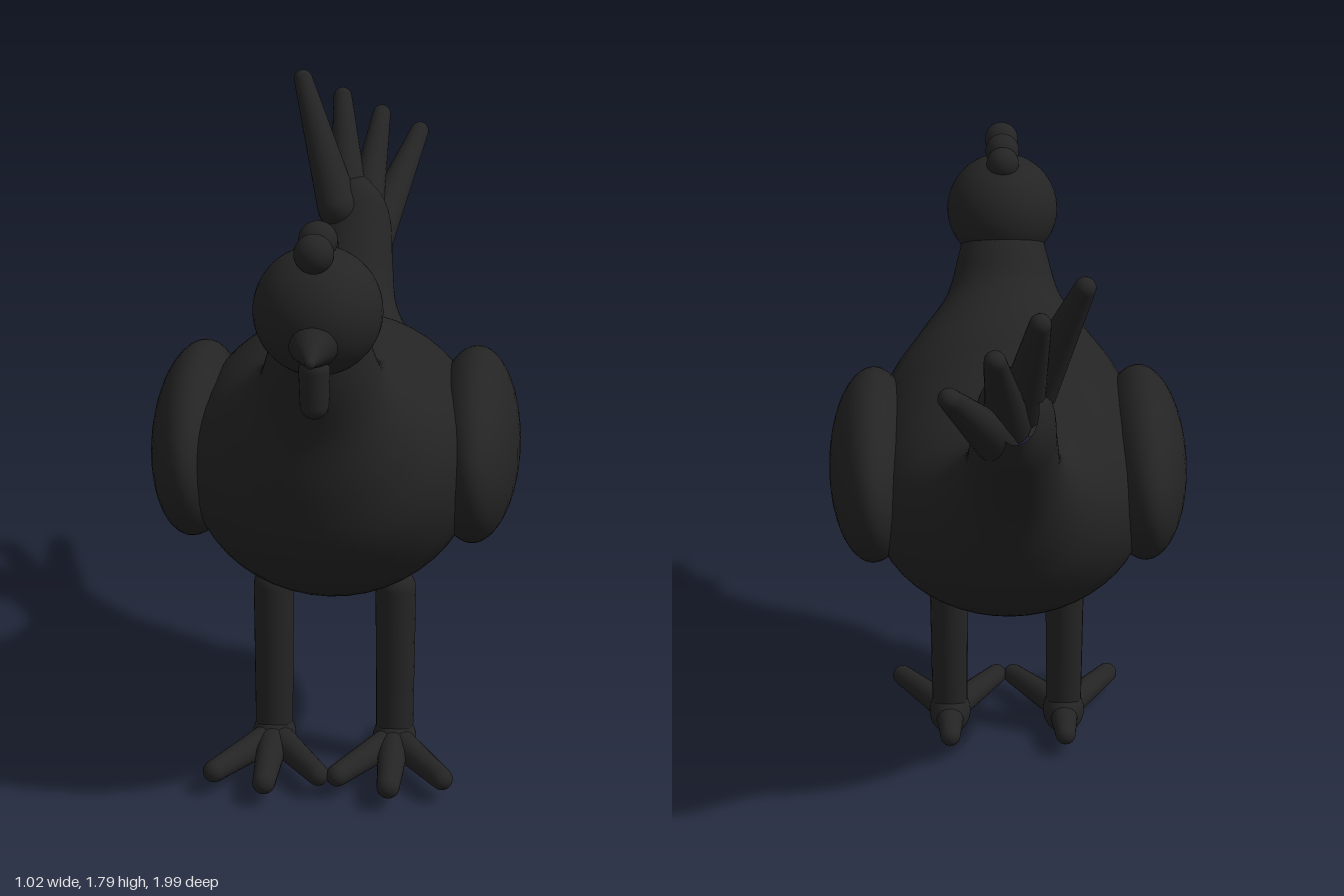
import * as THREE from 'three';

const black = new THREE.MeshStandardMaterial({ color: 0x242424 });
black.name = 'black plumage';

const V = (x, y, z) => new THREE.Vector3(x, y, z);

function part(parent, name, geometry) {
  const mesh = new THREE.Mesh(geometry, black);
  mesh.name = name;
  parent.add(mesh);
  return mesh;
}

function ellipsoid(parent, name, c, r) {
  const mesh = part(parent, name, new THREE.SphereGeometry(1, 40, 28));
  mesh.position.set(...c);
  mesh.scale.set(...r);
  return mesh;
}

// Tapered rod with rounded ends, running from a to b
function limb(parent, name, a, b, ra, rb) {
  const dir = b.clone().sub(a);
  const len = dir.length();
  const profile = [];
  for (let i = 0; i <= 6; i++) {
    const t = (i / 6) * Math.PI / 2;
    profile.push(new THREE.Vector2(ra * Math.sin(t), -ra * Math.cos(t)));
  }
  for (let i = 0; i <= 6; i++) {
    const t = (i / 6) * Math.PI / 2;
    profile.push(new THREE.Vector2(rb * Math.cos(t), len + rb * Math.sin(t)));
  }
  const mesh = part(parent, name, new THREE.LatheGeometry(profile, 20));
  mesh.position.copy(a);
  mesh.quaternion.setFromUnitVectors(V(0, 1, 0), dir.normalize());
  return mesh;
}

// Elliptical sections from neck to tail: [top y, top z, bottom y, bottom z, half width]
const SECTIONS = [
  [1.50, 0.63, 1.42, 0.82, 0.11],
  [1.43, 0.575, 1.30, 0.805, 0.135],
  [1.36, 0.525, 1.15, 0.765, 0.17],
  [1.31, 0.44, 0.98, 0.748, 0.25],
  [1.285, 0.33, 0.81, 0.70, 0.33],
  [1.28, 0.22, 0.645, 0.54, 0.385],
  [1.29, 0.10, 0.535, 0.27, 0.405],
  [1.265, -0.03, 0.53, 0.0, 0.40],
  [1.215, -0.16, 0.60, -0.20, 0.36],
  [1.19, -0.25, 0.73, -0.35, 0.27],
  [1.205, -0.33, 0.86, -0.425, 0.19],
  [1.265, -0.405, 1.0, -0.485, 0.135],
  [1.38, -0.49, 1.13, -0.575, 0.115],
  [1.49, -0.57, 1.25, -0.67, 0.10],
  [1.50, -0.64, 1.33, -0.71, 0.06],
];

function bodyGeometry(rings = 84, sides = 48) {
  const tops = new THREE.CatmullRomCurve3(SECTIONS.map(s => V(s[4], s[0], s[1])));
  const bottoms = new THREE.CatmullRomCurve3(SECTIONS.map(s => V(s[4], s[2], s[3])));
  const pos = [], index = [];
  for (let i = 0; i <= rings; i++) {
    const top = tops.getPoint(i / rings), bottom = bottoms.getPoint(i / rings);
    for (let j = 0; j < sides; j++) {
      const t = (j / sides) * Math.PI * 2;
      const k = (1 + Math.sin(t)) / 2;
      pos.push(top.x * Math.cos(t),
        THREE.MathUtils.lerp(bottom.y, top.y, k),
        THREE.MathUtils.lerp(bottom.z, top.z, k));
      if (i < rings) {
        const a = i * sides + j, b = i * sides + (j + 1) % sides;
        index.push(a, a + sides, b, b, a + sides, b + sides);
      }
    }
  }
  const g = new THREE.BufferGeometry();
  g.setAttribute('position', new THREE.Float32BufferAttribute(pos, 3));
  g.setIndex(index);
  g.computeVertexNormals();
  return g;
}

export function createModel() {
  const hen = new THREE.Group();
  hen.name = 'hen';

  part(hen, 'body', bodyGeometry());

  // Head with beak, comb and wattle
  const head = new THREE.Group();
  head.name = 'head';
  hen.add(head);
  ellipsoid(head, 'skull', [0, 1.5, 0.75], [0.165, 0.165, 0.165]);
  limb(head, 'beak', V(0, 1.46, 0.85), V(0, 1.434, 0.983), 0.085, 0.014);
  [[1.68, 0.87, 0.05], [1.66, 0.81, 0.045], [1.68, 0.745, 0.05], [1.655, 0.695, 0.048]]
    .forEach(([y, z, r]) => ellipsoid(head, 'comb', [0, y, z], [r, r, r]));
  limb(head, 'wattle', V(0, 1.38, 0.865), V(0, 1.287, 0.862), 0.04, 0.037);

  // Fan of four tail feathers
  const tail = new THREE.Group();
  tail.name = 'tail';
  hen.add(tail);
  for (let i = 0; i < 4; i++) {
    const s = i / 3;
    const base = V(-0.05 + 0.1 * s, 1.42 - 0.11 * s, -0.56 - 0.055 * s);
    const tip = V(-0.17 + 0.34 * s, 1.765 - 0.205 * s, -0.748 - 0.222 * s);
    limb(tail, 'tailFeather', base, tip, 0.062, 0.028);
  }

  // Wings, legs and feet on both sides
  for (const side of [1, -1]) {
    const label = side > 0 ? 'left' : 'right';
    ellipsoid(hen, label + 'Wing', [side * 0.385, 0.935, 0.127], [0.127, 0.255, 0.402]);

    const leg = new THREE.Group();
    leg.name = label + 'Leg';
    leg.position.x = side * 0.172;
    hen.add(leg);
    limb(leg, 'shin', V(0, 0.1, 0.235), V(0, 0.53, 0.217), 0.053, 0.057);
    ellipsoid(leg, 'ankle', [0, 0.075, 0.235], [0.062, 0.07, 0.075]);
    const ankle = V(0, 0.075, 0.24);
    limb(leg, 'middleToe', ankle, V(0, 0.07, 0.54), 0.046, 0.032);
    limb(leg, 'backToe', ankle, V(0, 0.07, 0.08), 0.046, 0.03);
    for (const s of [1, -1]) {
      limb(leg, 'sideToe', ankle, V(s * 0.145, 0.07, 0.48), 0.044, 0.031);
    }
  }
  return hen;
}
